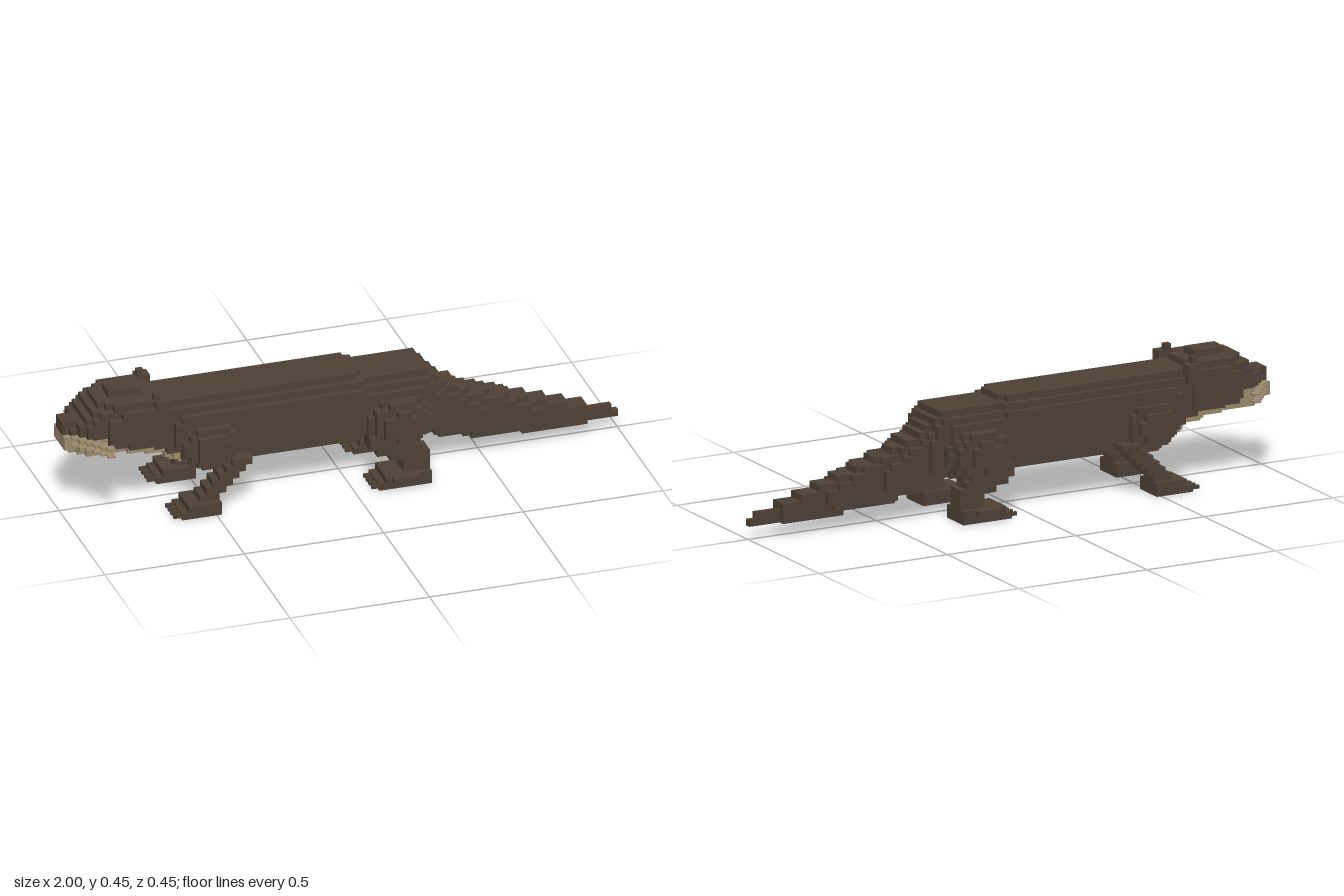
import * as THREE from 'three';

const S = 2 / 85; // voxel size: 85 cells along the length
const brown = new THREE.MeshStandardMaterial({ color: 0x4f4236 });
brown.name = 'brown fur';
const tan = new THREE.MeshStandardMaterial({ color: 0x9c8c6e });
tan.name = 'tan fur';

// Cross-section stations: [x, top, bottom, half width]
const stations = [
  [-0.98, 0.33, 0.25, 0.05], [-0.94, 0.36, 0.235, 0.085], [-0.9, 0.4, 0.235, 0.11],
  [-0.85, 0.425, 0.235, 0.122], [-0.8, 0.432, 0.235, 0.13], [-0.7, 0.43, 0.215, 0.13],
  [-0.66, 0.405, 0.2, 0.112], [-0.6, 0.402, 0.165, 0.122], [-0.53, 0.402, 0.141, 0.13],
  [0.03, 0.402, 0.141, 0.13], [0.06, 0.382, 0.141, 0.13], [0.24, 0.382, 0.135, 0.13],
  [0.29, 0.375, 0.125, 0.115], [0.36, 0.3, 0.094, 0.087], [0.42, 0.265, 0.09, 0.084],
  [0.47, 0.242, 0.073, 0.075], [0.6, 0.2, 0.068, 0.06], [0.68, 0.172, 0.05, 0.052],
  [0.78, 0.142, 0.047, 0.037], [0.87, 0.115, 0.047, 0.034], [0.9, 0.097, 0.047, 0.018], [1.0, 0.075, 0.047, 0.014],
];

function sectionAt(x) {
  let i = 1;
  while (i < stations.length - 1 && stations[i][0] < x) i++;
  const a = stations[i - 1], b = stations[i];
  const t = THREE.MathUtils.clamp((x - a[0]) / (b[0] - a[0]), 0, 1);
  return a.map((v, k) => v + (b[k] - v) * t);
}

export function createModel() {
  const model = new THREE.Group();
  const cells = new Map();
  const key = (i, j, k) => `${i},${j},${k}`;
  const centre = (i, j, k) => [-1 + (i + 0.5) * S, (j + 0.5) * S, k * S];

  // Fill every cell whose centre passes the test; pick(x, y, z) names its part
  const fill = (test, pick) => {
    for (let i = 0; i < 85; i++) for (let j = 0; j < 20; j++) for (let k = -9; k <= 9; k++) {
      const c = centre(i, j, k);
      if (!cells.has(key(i, j, k)) && test(...c)) cells.set(key(i, j, k), { i, j, k, part: pick(...c) });
    }
  };
  const side = (name) => (x, y, z) => (z > 0 ? 'left' : 'right') + name;
  const box = (x0, x1, y0, y1, z0, z1, pick) => fill((x, y, z) =>
    x > x0 && x < x1 && y > y0 && y < y1 && Math.abs(z) > z0 && Math.abs(z) < z1, pick);
  const ball = (cx, cy, cz, rx, ry, rz, pick) => fill((x, y, z) =>
    ((x - cx) / rx) ** 2 + ((y - cy) / ry) ** 2 + ((Math.abs(z) - cz) / rz) ** 2 < 1, pick);

  // Nose, crown and ears
  box(-1, -0.95, 0.305, 0.353, -1, 0.036, () => 'nose');
  box(-0.835, -0.72, 0.42, 0.448, -1, 0.036, () => 'head');
  box(-0.705, -0.675, 0.37, 0.448, 0.08, 0.107, side('Ear'));
  box(-0.705, -0.65, 0.355, 0.425, 0.08, 0.13, side('Ear'));

  // Head, trunk and tail as one run of rounded sections
  fill((x, y, z) => {
    const [, top, bottom, half] = sectionAt(x);
    const v = Math.abs((y - (top + bottom) / 2) / ((top - bottom) / 2));
    return v ** 3 + Math.abs(z / half) ** 3 < 1;
  }, (x, y, z) => {
    const bottom = sectionAt(x)[2];
    if (x < -0.87 && y < 0.3) return 'muzzle';
    if (x < -0.53 && y < bottom + 0.035 && Math.abs(z) < 0.1) return 'throat';
    return x < -0.65 ? 'head' : x < 0.32 ? 'body' : 'tail';
  });

  // Shoulders and haunches
  ball(-0.5, 0.235, 0.1, 0.11, 0.09, 0.08, side('Shoulder'));
  ball(0.17, 0.225, 0.1, 0.125, 0.1, 0.102, side('Haunch'));

  // Legs: one slanted slab per layer, then the feet
  for (let j = 2; j < 8; j++) {
    const x = -0.56 + (j - 2) * S, y = j * S;
    box(x, x + 0.085, y, y + S, 0.105, 0.178, side('FrontLeg'));
  }
  [[0.185, 0.27], [0.17, 0.265], [0.125, 0.26], [0.085, 0.245], [0.06, 0.235], [0.06, 0.235]]
    .forEach(([x0, x1], n) => box(x0, x1, (n + 2) * S, (n + 3) * S, 0.105, 0.178, side('HindLeg')));
  box(-0.625, -0.48, 0, S, 0.08, 0.2, side('FrontFoot'));
  box(-0.6, -0.48, S, 2 * S, 0.08, 0.2, side('FrontFoot'));
  box(0.085, 0.27, 0, S, 0.08, 0.2, side('HindFoot'));
  box(0.11, 0.27, S, 2 * S, 0.08, 0.2, side('HindFoot'));
  box(0.13, 0.225, S, 2 * S, 0.19, 0.224, side('HindFoot'));

  // Emit only the exposed cell faces, grouped by part
  const parts = {};
  for (const { i, j, k, part } of cells.values()) {
    const pos = (parts[part] ??= []);
    const c = centre(i, j, k);
    for (let a = 0; a < 3; a++) for (const d of [-1, 1]) {
      const n = [i, j, k];
      n[a] += d;
      if (cells.has(key(...n))) continue;
      const u = (a + 1) % 3, w = (a + 2) % 3;
      const corner = (p, q) => {
        const r = [...c];
        r[a] += d * S / 2; r[u] += p * S / 2; r[w] += q * d * S / 2;
        return r;
      };
      const A = corner(-1, -1), B = corner(1, -1), C = corner(1, 1), D = corner(-1, 1);
      pos.push(...A, ...B, ...C, ...A, ...C, ...D);
    }
  }
  for (const [name, pos] of Object.entries(parts)) {
    const geo = new THREE.BufferGeometry();
    geo.setAttribute('position', new THREE.Float32BufferAttribute(pos, 3));
    geo.computeVertexNormals();
    const mesh = new THREE.Mesh(geo, name === 'muzzle' || name === 'throat' ? tan : brown);
    mesh.name = name;
    model.add(mesh);
  }

  const block = (name, w, h, d, x, y, z, mat) => {
    const mesh = new THREE.Mesh(new THREE.BoxGeometry(w, h, d), mat);
    mesh.name = name;
    mesh.position.set(x, y, z);
    model.add(mesh);
  };
  for (const s of [-1, 1]) {
    // Whiskers: stepped thin strips sweeping back
    for (const y of [0.282, 0.309]) for (let n = 0; n < 6; n++)
      block('whisker', 0.027, 0.006, 0.03, -0.965 + n * 0.018, y, s * (0.07 + n * 0.023), tan);
    // Claws
    for (const [x, name] of [[-0.635, 'frontClaw'], [0.075, 'hindClaw']]) for (let n = 0; n < 4; n++)
      block(name, 0.034, 0.012, 0.012, x, 0.012, s * (0.1 + n * 0.029), brown);
  }
  return model;
}
